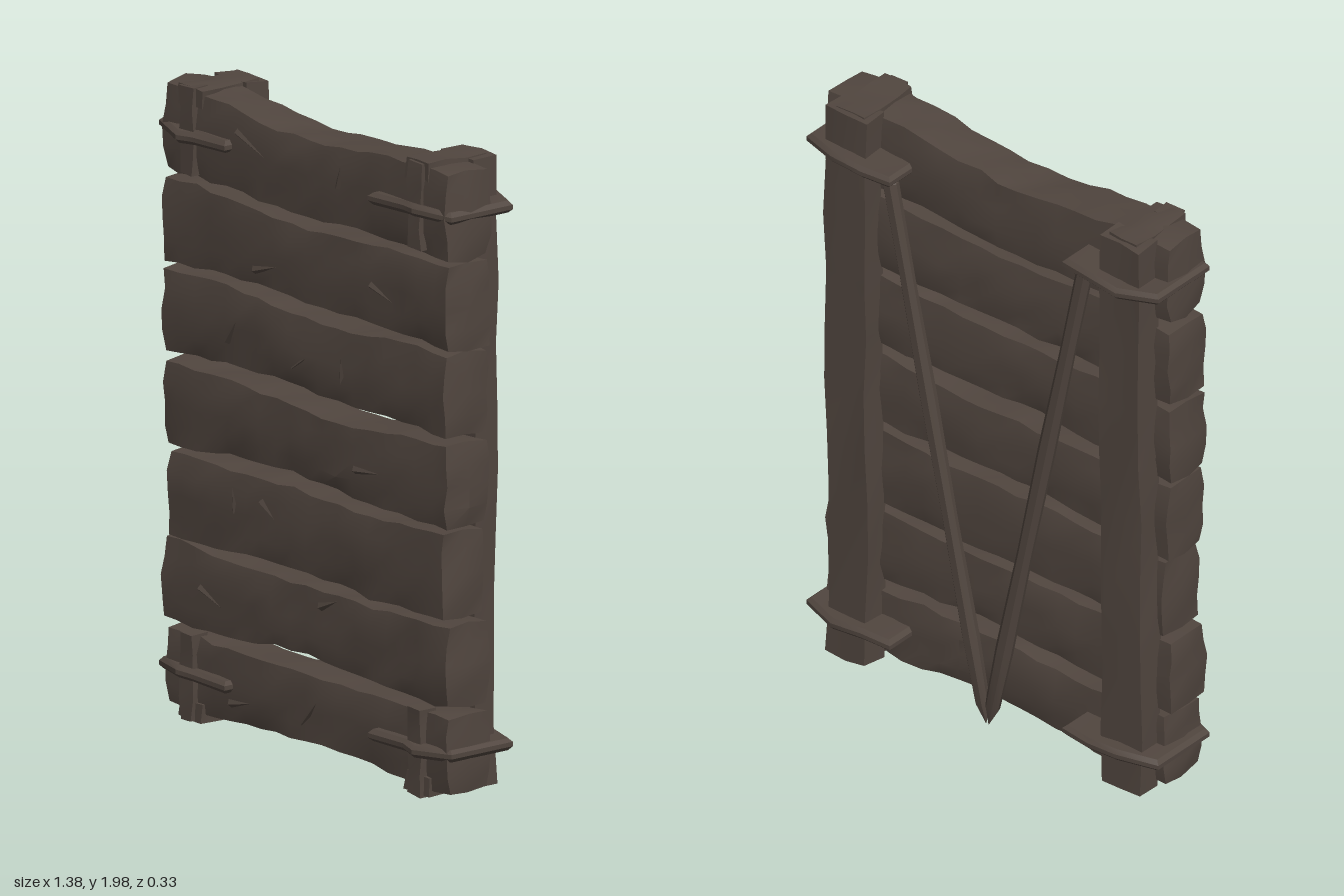
import * as THREE from 'three';
import { toCreasedNormals } from 'three/addons/utils/BufferGeometryUtils.js';

const wood = new THREE.MeshStandardMaterial({ color: 0x51463f });
wood.name = 'dark weathered wood';

// repeatable noise in -1..1 from a position and a seed
function noise(x, y, z, seed) {
  const s = Math.sin(x * 127.1 + y * 311.7 + z * 74.7 + seed * 53.3) * 43758.5453;
  return (s - Math.floor(s)) * 2 - 1;
}

function addMesh(group, name, geometry) {
  const mesh = new THREE.Mesh(toCreasedNormals(geometry, 0.5), wood);
  mesh.name = name;
  group.add(mesh);
  return mesh;
}

// box whose vertices are moved by a rule and then roughened
function roughBox(size, segments, seed, amount, rule = () => {}) {
  const g = new THREE.BoxGeometry(...size, ...segments);
  const p = g.attributes.position;
  const v = new THREE.Vector3();
  for (let i = 0; i < p.count; i++) {
    v.fromBufferAttribute(p, i);
    const k = [v.x, v.y, v.z].map((c) => Math.round(c * 1000) / 100);
    rule(v);
    v.x += noise(...k, seed) * amount;
    v.y += noise(...k, seed + 1) * amount;
    v.z += noise(...k, seed + 2) * amount;
    p.setXYZ(i, v.x, v.y, v.z);
  }
  return g;
}

// plank: wavy long edges, worn corners
function plank(x0, x1, y0, y1, seed, dip, rise) {
  const w = x1 - x0, h = y1 - y0, d = 0.165;
  const g = roughBox([w, h, d], [18, 4, 2], seed, 0.006, (v) => {
    const t = v.x / (w / 2), middle = Math.cos(t * Math.PI / 2) ** 2;
    const edgeY = Math.abs(v.y) > h * 0.49, edgeZ = Math.abs(v.z) > d * 0.49;
    const wave = Math.sin(t * 5 + seed) * 0.006;
    if (edgeY && edgeZ) { v.z *= 0.9; v.y *= 0.96; }
    if (Math.abs(t) > 0.99 && (edgeY || edgeZ)) v.x *= 0.985;
    v.y += wave + (v.y > 0 ? -dip : rise) * middle * Math.abs(v.y) / (h / 2);
    v.z += Math.sin(t * 4 + seed * 2) * 0.004;
  });
  return g.translate((x0 + x1) / 2, (y0 + y1) / 2, 0.034);
}

// flat collar clamping a plank end to its post
function collar(seed) {
  const outline = [[0.34, -0.155], [0.44, -0.165], [0.56, -0.17], [0.69, -0.125],
    [0.69, 0.115], [0.56, 0.16], [0.5, 0.145], [0.34, 0.15]];
  const shape = new THREE.Shape(outline.map(([x, z]) =>
    new THREE.Vector2(0.515 + (x - 0.515) * 0.94, -z * 0.92)));
  const g = new THREE.ExtrudeGeometry(shape, {
    depth: 0.014, bevelEnabled: true, bevelThickness: 0.012, bevelSize: 0.012, bevelSegments: 1,
  });
  g.rotateX(-Math.PI / 2).translate(0, -0.007, 0);
  const p = g.attributes.position;
  for (let i = 0; i < p.count; i++) {
    p.setY(i, p.getY(i) + Math.sin(p.getX(i) * 18 + seed) * 0.006);
  }
  return g;
}

export function createModel() {
  const model = new THREE.Group();
  model.name = 'plankPanel';

  // seven horizontal planks: x0, x1, y0, y1, top dip, bottom rise
  const planks = [
    [-0.665, 0.68, 0.04, 0.285, 0.01, 0.02],
    [-0.685, 0.685, 0.305, 0.565, 0.02, 0.02],
    [-0.65, 0.662, 0.575, 0.845, 0.01, 0.005],
    [-0.67, 0.672, 0.855, 1.12, 0.025, 0.025],
    [-0.682, 0.67, 1.14, 1.405, 0.015, 0.02],
    [-0.68, 0.685, 1.415, 1.685, 0.015, 0.02],
    [-0.675, 0.685, 1.7, 1.98, 0.035, 0.0],
  ];
  planks.forEach(([x0, x1, y0, y1, dip, rise], i) => {
    addMesh(model, 'plank' + (i + 1), plank(x0, x1, y0, y1, i * 7 + 1, dip, rise));
  });

  for (const side of [-1, 1]) {
    const label = side > 0 ? 'left' : 'right';
    // back post
    addMesh(model, label + 'Post', roughBox([0.155, 1.96, 0.085], [2, 10, 1], 40 + side, 0.006,
      (v) => { v.x += Math.sin(v.y * 3) * 0.006; })
      .translate(side * 0.54, 1.005, -0.078));

    for (const top of [false, true]) {
      const end = top ? 'Top' : 'Bottom';
      const seed = 60 + side * 3 + (top ? 10 : 0);
      // front peg and the block joining it to the post
      addMesh(model, label + end + 'Peg',
        roughBox([0.06, 0.27, 0.06], [1, 4, 1], seed, 0.005)
          .translate(side * 0.54, top ? 1.855 : 0.155, 0.105));
      addMesh(model, label + end + 'Block',
        roughBox([0.11, 0.06, 0.22], [2, 1, 3], seed + 4, 0.005)
          .translate(side * 0.535, top ? 1.96 : 0.05, 0.01));
      // collar
      const ring = collar(seed);
      if (side < 0) ring.rotateZ(Math.PI);
      addMesh(model, label + end + 'Collar', ring).position.y = top ? 1.84 : 0.165;
    }

    // slanted back brace, meeting its twin at a point below
    const from = new THREE.Vector3(side * 0.005, 0.012, -0.1);
    const to = new THREE.Vector3(side * 0.385, 1.82, -0.1);
    const length = from.distanceTo(to);
    const profile = [[0.001, 0], [0.026, 0.07], [0.031, 0.3], [0.027, 0.7], [0.031, 1.1],
      [0.027, 1.5], [0.029, length - 0.02], [0.001, length]];
    const brace = addMesh(model, label + 'Brace', new THREE.LatheGeometry(
      profile.map(([r, y]) => new THREE.Vector2(r, y)), 7));
    brace.position.copy(from);
    brace.scale.z = 0.75;
    brace.rotation.z = -Math.atan2(to.x - from.x, to.y - from.y);
  }

  // splinters lifting off the front: x, y, length, tilt
  const splinters = [
    [-0.25, 1.87, 0.13, -0.5], [0.17, 1.86, 0.08, 1.2], [0.37, 1.54, 0.1, -0.4],
    [-0.18, 1.5, 0.12, 0.3], [-0.34, 1.27, 0.1, 0.9], [0.18, 1.26, 0.1, 1.4],
    [-0.02, 1.24, 0.08, 0.6], [-0.33, 0.75, 0.09, 1.5], [-0.17, 0.75, 0.07, -0.8],
    [0.12, 0.52, 0.1, 0.4], [-0.44, 0.42, 0.1, -0.5], [0.03, 0.16, 0.12, 0.8],
    [-0.3, 0.12, 0.1, 0.2], [0.3, 0.97, 0.12, 0.1],
  ];
  splinters.forEach(([x, y, length, tilt], i) => {
    const s = addMesh(model, 'splinter' + (i + 1), new THREE.ConeGeometry(0.014, length, 4));
    s.position.set(x, y, 0.122);
    s.rotation.set(0.22, 0, tilt - Math.PI / 2);
    s.scale.z = 0.7;
  });

  return model;
}
